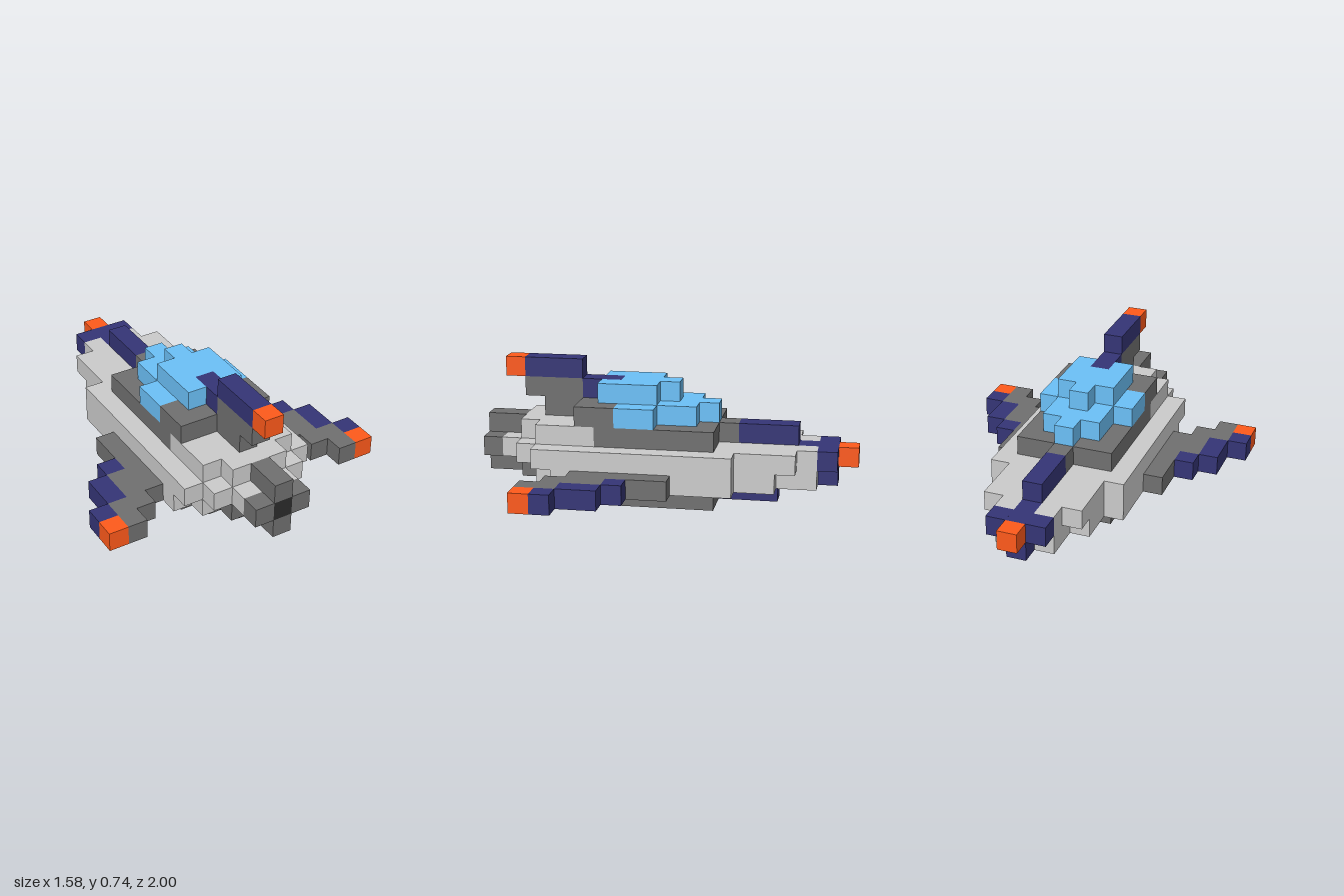
import * as THREE from 'three';

// One cell of the block grid: 19 cells long, 15 wide, 7 high
const U = 2 / 19;

const material = (color) => new THREE.MeshStandardMaterial({ color, flatShading: true });
const light = material(0xcccccc);
const dark = material(0x707070);
const black = material(0x2c2c2c);
const navy = material(0x353576);
const blue = material(0x6cc1f8);
const orange = material(0xff5a1b);

// Box filling columns a..b, layer y and rows k0..k1 (row 0 is the nose, row 18 the engine)
function block(group, mat, y, a, b, k0, k1) {
  const w = b - a + 1, d = k1 - k0 + 1;
  const mesh = new THREE.Mesh(new THREE.BoxGeometry(w * U, U, d * U), mat);
  mesh.position.set(((a + b) / 2) * U, (y + 0.5) * U, -1 + (k0 + d / 2) * U);
  mesh.name = group.name + 'Block';
  group.add(mesh);
}

// A part made of rods [material, layer, column, first row, last row];
// rods off the centre line are mirrored
function part(name, rods) {
  const group = new THREE.Group();
  group.name = name;
  for (const [mat, y, i, k0, k1] of rods) {
    block(group, mat, y, i, i, k0, k1);
    if (i > 0) block(group, mat, y, -i, -i, k0, k1);
  }
  return group;
}

export function createModel() {
  const model = new THREE.Group();
  model.name = 'spaceship';
  model.add(
    // Stepped belly with a central keel stripe
    part('belly', [
      [navy, 0, 0, 4, 12], [dark, 0, 0, 13, 15],
      [dark, 0, 1, 7, 14], [dark, 0, 2, 7, 13],
    ]),
    part('lowerHull', [
      [light, 1, 0, 2, 3], [dark, 1, 0, 4, 17],
      [light, 1, 1, 2, 6], [dark, 1, 1, 7, 16],
      [light, 1, 2, 4, 15], [light, 1, 3, 6, 14],
    ]),
    part('middleHull', [
      [light, 2, 0, 3, 17], [light, 2, 1, 2, 17],
      [light, 2, 2, 3, 16], [light, 2, 3, 6, 15],
    ]),
    part('upperHull', [
      [dark, 3, 0, 6, 12], [dark, 3, 1, 7, 12], [dark, 3, 2, 7, 12],
      [light, 3, 0, 13, 16], [light, 3, 1, 13, 16], [light, 3, 2, 13, 15],
    ]),
    // Nose with a stripe running back along the top
    part('nose', [
      [orange, 2, 0, 0, 0], [navy, 2, 0, 1, 2], [navy, 2, 1, 1, 1],
      [navy, 1, 0, 1, 1], [navy, 3, 0, 3, 5],
    ]),
    // Cross-shaped engine around a dark nozzle
    part('engine', [
      [black, 2, 0, 18, 18], [dark, 2, 1, 18, 18],
      [dark, 1, 0, 18, 18], [dark, 3, 0, 17, 18],
    ]),
    part('canopy', [
      [blue, 4, 0, 7, 11], [blue, 4, 1, 8, 11], [blue, 4, 2, 10, 11],
      [blue, 5, 0, 9, 11], [blue, 5, 1, 10, 12],
    ]),
    part('canopyRear', [
      [dark, 4, 0, 12, 15], [dark, 4, 1, 12, 13], [dark, 4, 2, 12, 13],
    ]),
    part('tailFin', [
      [navy, 5, 0, 12, 13], [dark, 5, 0, 14, 16],
      [navy, 6, 0, 14, 16], [orange, 6, 0, 17, 17],
    ]),
    // Swept wings with a coloured leading edge and tips
    part('wings', [
      [dark, 1, 4, 9, 13],
      [navy, 1, 5, 11, 11], [dark, 1, 5, 12, 14],
      [navy, 1, 6, 12, 13], [dark, 1, 6, 14, 15],
      [navy, 1, 7, 14, 14], [orange, 1, 7, 15, 15],
    ]),
  );
  return model;
}
